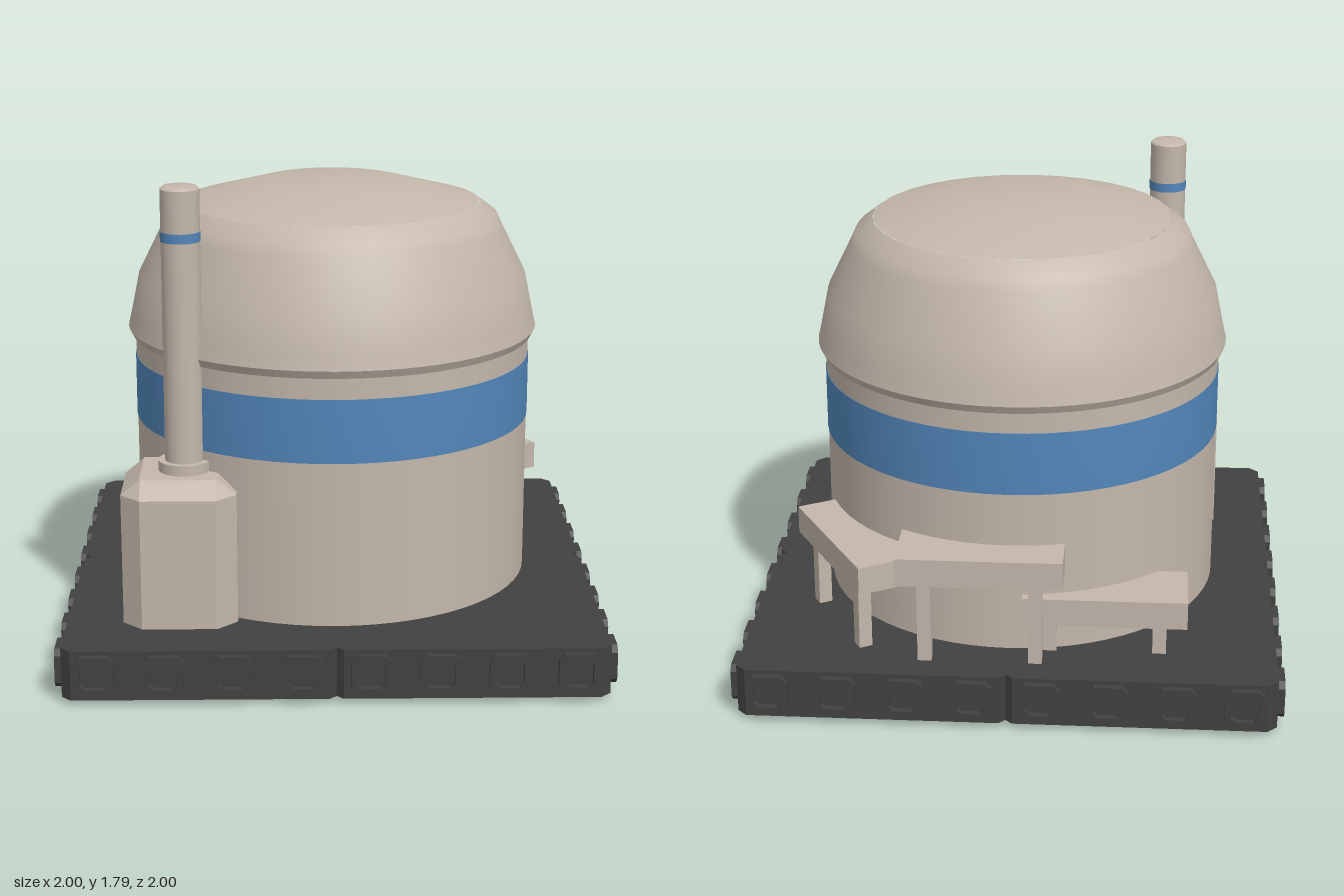
import * as THREE from 'three';

const material = (name, color) => Object.assign(new THREE.MeshStandardMaterial({ color }), { name });

export function createModel() {
  const model = new THREE.Group();
  model.name = 'domedTank';
  const beige = material('warm beige', 0xc4b7ab);
  const blue = material('band blue', 0x5286ba);
  const dark = material('dark grey', 0x414141);

  const add = (name, geometry, mat, x = 0, y = 0, z = 0, parent = model) => {
    const mesh = new THREE.Mesh(geometry, mat);
    mesh.name = name;
    mesh.position.set(x, y, z);
    parent.add(mesh);
    return mesh;
  };
  const toShape = (pts) => new THREE.Shape(pts.map(([x, y]) => new THREE.Vector2(x, y)));
  const lathe = (pts, sides = 64) =>
    new THREE.LatheGeometry(pts.map(([r, y]) => new THREE.Vector2(r, y)), sides);
  // Square with cut corners, counter-clockwise
  const cutSquare = (h, c) => [
    [h, -h + c], [h, h - c], [h - c, h], [-h + c, h],
    [-h, h - c], [-h, -h + c], [-h + c, -h], [h - c, -h],
  ];

  // Base plate: square with cut corners and a small notch mid-way along each side
  const outline = [];
  for (let i = 0; i < 4; i++) {
    const a = (i * Math.PI) / 2, c = Math.cos(a), s = Math.sin(a), h = 0.975;
    for (const [x, y] of [[h, -h + 0.035], [h, -0.025], [h - 0.025, 0], [h, 0.025], [h, h - 0.035]]) {
      outline.push([x * c - y * s, x * s + y * c]);
    }
  }
  const plate = new THREE.ExtrudeGeometry(toShape(outline), { depth: 0.185, bevelEnabled: false });
  plate.rotateX(-Math.PI / 2);
  add('basePlate', plate, dark, 0, 0.02, 0);

  // Connector frames around the edge of the plate
  const frame = toShape(cutSquare(0.072, 0.022));
  frame.holes.push(toShape(cutSquare(0.05, 0.016).reverse()));
  const frameGeometry = new THREE.ExtrudeGeometry(frame, { depth: 0.025, bevelEnabled: false });
  for (let side = 0; side < 4; side++) {
    const row = new THREE.Group();
    row.name = 'connectorRow';
    row.rotation.y = (side * Math.PI) / 2;
    for (let i = 0; i < 8; i++) {
      add('connector', frameGeometry, dark, (i - 3.5) * 0.2445, 0.118, 0.975, row);
    }
    model.add(row);
  }

  // Tank wall and painted band
  add('tankWall', lathe([[0.75, 0.2], [0.75, 1.14]]), beige);
  add('tankBand', lathe([[0.75, 0.82], [0.753, 0.82], [0.753, 1.055], [0.75, 1.055]]), blue);

  // Domed roof, in pieces so that the edges stay sharp
  add('roofUnderside', lathe([[0.74, 1.135], [0.762, 1.135]]), beige);
  add('roofLip', lathe([[0.762, 1.135], [0.777, 1.165]]), beige);
  add('roofSkirt', lathe([[0.777, 1.165], [0.765, 1.215], [0.735, 1.36], [0.648, 1.535]]), beige);
  add('roofCrown', lathe([[0.648, 1.535], [0.625, 1.585], [0.56, 1.635]]), beige);
  add('roofCap', lathe([[0.56, 1.635], [0.275, 1.71], [0, 1.71]], 32), beige);

  // Chimney pedestal: cut-corner block tapering to a square top
  const loops = [
    [cutSquare(0.208, 0.072), 0.2], [cutSquare(0.208, 0.072), 0.69], [cutSquare(0.14, 0.004), 0.747],
  ];
  const pos = [];
  const vert = (level, i) => {
    const [x, z] = loops[level][0][i % 8];
    return [x, loops[level][1], -z];
  };
  for (let l = 0; l < 2; l++) {
    for (let i = 0; i < 8; i++) {
      const a = vert(l, i), b = vert(l, i + 1), c = vert(l + 1, i + 1), d = vert(l + 1, i);
      pos.push(...a, ...b, ...c, ...a, ...c, ...d);
    }
  }
  for (let i = 1; i < 7; i++) pos.push(...vert(2, 0), ...vert(2, i), ...vert(2, i + 1));
  const pedestal = new THREE.BufferGeometry();
  pedestal.setAttribute('position', new THREE.Float32BufferAttribute(pos, 3));
  pedestal.computeVertexNormals();
  add('chimneyPedestal', pedestal, beige, -0.562, 0, 0.563);

  // Chimney pipe
  const cx = -0.545, cz = 0.565;
  add('chimneyCollar', new THREE.CylinderGeometry(0.095, 0.095, 0.04, 24), beige, cx, 0.765, cz);
  add('chimneyPipe', new THREE.CylinderGeometry(0.07, 0.07, 1.03, 24), beige, cx, 1.26, cz);
  add('chimneyTop', lathe([[0.07, 1.775], [0.06, 1.786], [0, 1.786]], 24), beige, cx, 0, cz);
  add('chimneyBand', new THREE.CylinderGeometry(0.072, 0.072, 0.035, 24, 1, true), blue, cx, 1.607, cz);

  // Platforms on two legs along the back of the tank
  const platform = (name, x, z, bottom, legBottom, turn) => {
    const group = new THREE.Group();
    group.name = name;
    group.position.set(x, 0, z);
    group.rotation.y = turn;
    add('platformDeck', new THREE.BoxGeometry(0.6, 0.105, 0.26), beige, 0, bottom + 0.0525, 0, group);
    const h = bottom - legBottom;
    for (const s of [-1, 1]) {
      add('platformLeg', new THREE.BoxGeometry(0.05, h, 0.05), beige, s * 0.2, legBottom + h / 2, -0.078, group);
    }
    model.add(group);
  };
  platform('middlePlatform', 0.1, -0.76, 0.515, 0.19, 0);
  platform('lowPlatform', -0.348, -0.655, 0.32, 0, 0);
  platform('turnedPlatform', 0.57, -0.537, 0.46, 0.15, -Math.PI / 3);

  return model;
}
